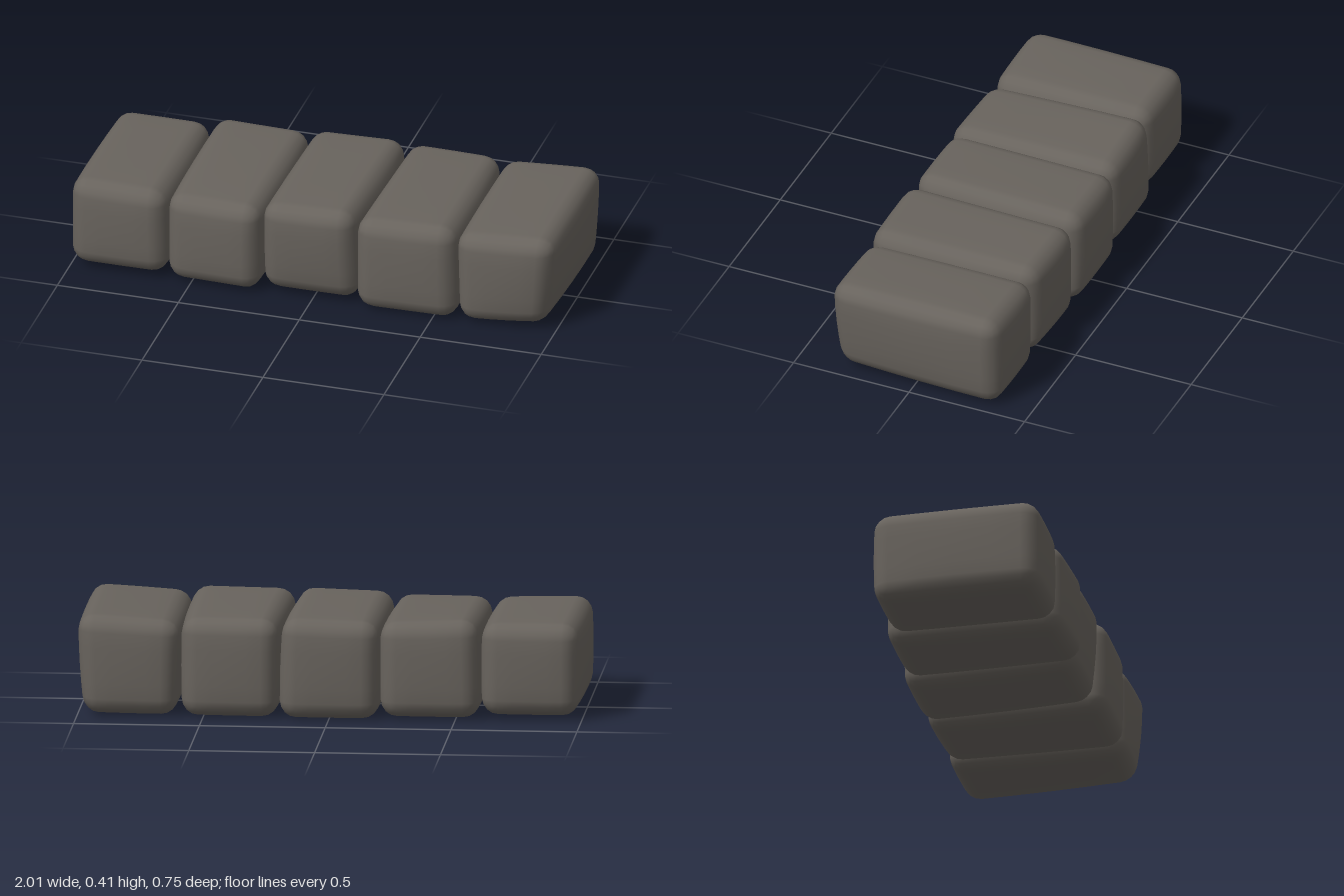
import * as THREE from 'three';
import { mergeVertices } from 'three/addons/utils/BufferGeometryUtils.js';

const STEPS = 4; // grid steps from the middle of a face to its edge
const WIDTH = 0.4; // pitch of the blocks along x
const RADIUS = 0.065;

// Places grid lines: middle, half core, core edge, mid round, outer edge
function gridLine(u, half) {
  const core = half - RADIUS;
  const lines = [0, core * 0.55, core, core + 0.41 * RADIUS, half];
  return Math.sign(u) * lines[Math.round(Math.abs(u) * STEPS)];
}

// A worn block: rounded box with slightly swollen faces and pushed corners.
// A corner is given by its signs; sign 0 acts along the whole edge.
function stoneGeometry(half, pushes) {
  const n = STEPS * 2;
  let geo = new THREE.BoxGeometry(2, 2, 2, n, n, n);
  geo.deleteAttribute('uv');
  geo.deleteAttribute('normal');
  geo = mergeVertices(geo);
  const pos = geo.attributes.position;
  const p = new THREE.Vector3();
  const core = new THREE.Vector3();
  const inner = half.clone().subScalar(RADIUS);
  const outer = inner.clone().negate();
  for (let i = 0; i < pos.count; i++) {
    p.fromBufferAttribute(pos, i);
    p.set(gridLine(p.x, half.x), gridLine(p.y, half.y), gridLine(p.z, half.z));
    // Round the edges around the inner core
    core.copy(p).clamp(outer, inner);
    p.sub(core).setLength(RADIUS).add(core);
    // Swell the middle of each face
    const s = p.clone().divide(half);
    const [fx, fy, fz] = s.toArray().map((v) => 1 - v * v);
    p.x += 0.012 * s.x * fy * fz;
    p.y += 0.004 * s.y * fx * fz;
    p.z += 0.012 * s.z * fx * fy;
    // Push the corners
    for (const { corner, by } of pushes) {
      const weight = corner.reduce((w, sign, k) =>
        (sign ? w * ((1 + sign * s.getComponent(k)) / 2) ** 1.5 : w), 1);
      p.addScaledVector(by, weight);
    }
    pos.setXYZ(i, p.x, p.y, p.z);
  }
  geo.computeVertexNormals();
  return geo;
}

const push = (corner, x, y, z) => ({ corner, by: new THREE.Vector3(x, y, z) });

export function createModel() {
  const group = new THREE.Group();
  group.name = 'stoneRow';
  const stone = new THREE.MeshStandardMaterial({ color: 0x68635d });
  stone.name = 'greyStone';

  // Adds one block to the row between its bottom, top, back and front
  function addStone(index, bottom, top, back, front, ...pushes) {
    const half = new THREE.Vector3(WIDTH / 2 - 0.004, (top - bottom) / 2 - 0.004, (front - back) / 2 - 0.006);
    const mesh = new THREE.Mesh(stoneGeometry(half, pushes), stone);
    mesh.position.set((index - 2) * WIDTH, (top + bottom) / 2, (back + front) / 2);
    mesh.name = `stoneBlock${index + 1}`;
    group.add(mesh);
  }

  // Blocks from the right end to the left end
  addStone(0, 0.02, 0.4, -0.325, 0.355,
    push([-1, 0, -1], 0.012, 0, 0), push([1, 1, 1], -0.01, -0.01, 0));
  addStone(1, 0.012, 0.405, -0.358, 0.358,
    push([-1, 1, -1], 0.01, 0.015, 0.01), push([0, 1, 1], 0, -0.015, 0),
    push([1, 0, 1], -0.015, 0, 0.015));
  addStone(2, 0.005, 0.408, -0.378, 0.352,
    push([1, 1, 0], -0.012, 0.01, 0), push([-1, 0, 1], -0.012, 0, 0),
    push([1, 0, 1], -0.02, 0, 0), push([0, -1, 1], 0, 0.012, -0.025));
  addStone(3, 0.006, 0.41, -0.374, 0.36,
    push([-1, 0, 1], -0.02, 0, 0.008), push([1, 1, 1], -0.008, 0.008, 0),
    push([1, 0, -1], -0.012, 0, 0.012));
  addStone(4, 0.008, 0.412, -0.374, 0.353,
    push([1, 1, 0], 0, 0.008, 0), push([-1, 1, 0], -0.01, -0.015, 0),
    push([1, -1, 0], -0.022, 0.004, 0), push([1, -1, 1], -0.015, 0.015, -0.03));
  return group;
}
